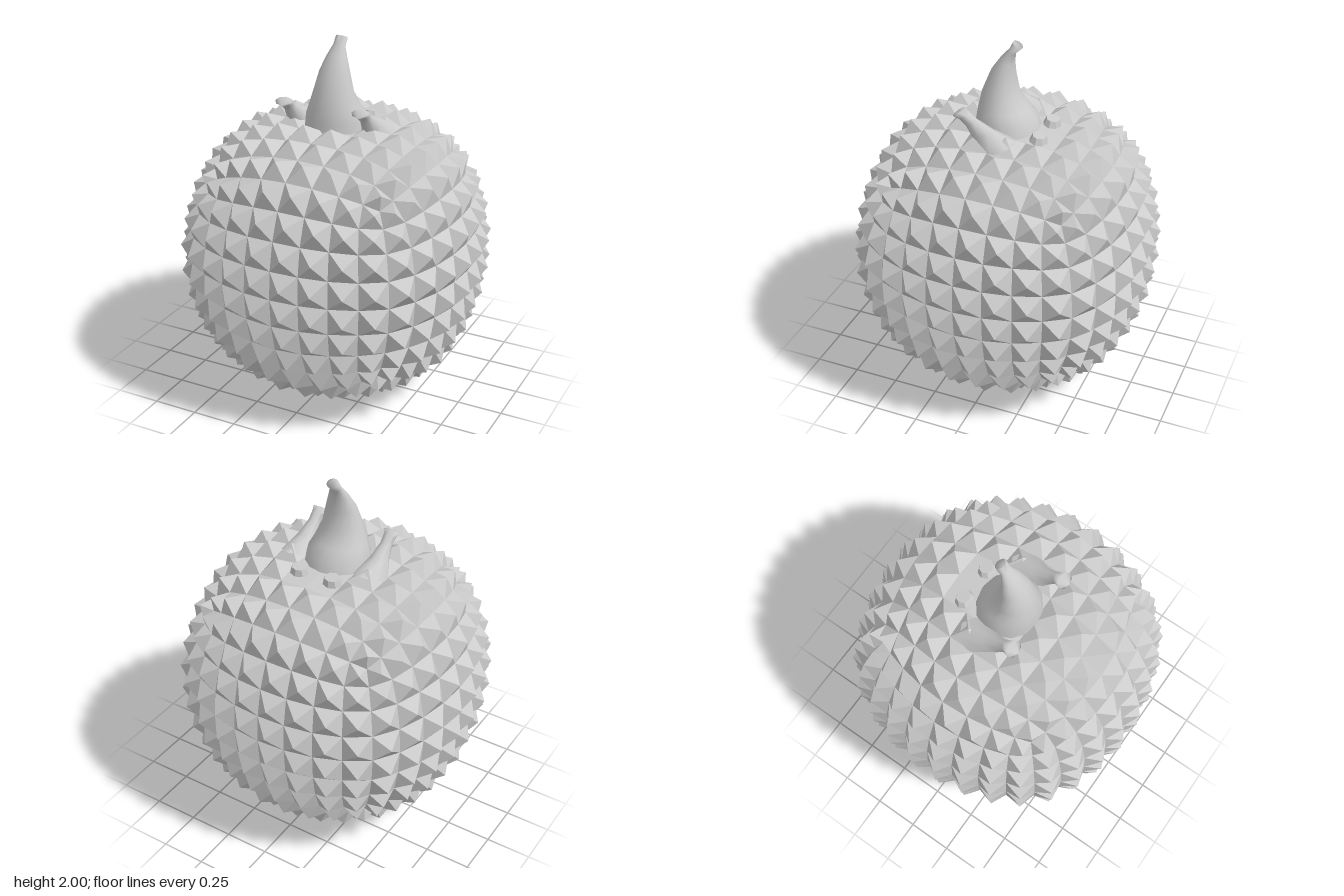
import * as THREE from 'three';

const CENTRE_Y = 0.822;
const material = (flat) => new THREE.MeshStandardMaterial({ color: 0xcccccc, flatShading: flat, side: THREE.DoubleSide });

// One smoothing subdivision of a closed quad mesh
function subdivide({ verts, quads }) {
  const acc = verts.map(() => ({ n: 0, f: new THREE.Vector3(), e: new THREE.Vector3() }));
  const edges = new Map();
  const out = verts.map((v) => v.clone());
  const key = (a, b) => Math.min(a, b) + '_' + Math.max(a, b);
  const faceIds = quads.map((q) => {
    const c = new THREE.Vector3();
    q.forEach((i) => c.addScaledVector(verts[i], 0.25));
    q.forEach((a, k) => {
      const b = q[(k + 1) % 4];
      const mid = verts[a].clone().add(verts[b]).multiplyScalar(0.5);
      if (!edges.has(key(a, b))) edges.set(key(a, b), { id: out.push(mid.clone().multiplyScalar(0.5)) - 1 });
      out[edges.get(key(a, b)).id].addScaledVector(c, 0.25);
      acc[a].n++;
      acc[a].f.add(c);
      acc[a].e.add(mid);
    });
    return out.push(c) - 1;
  });
  verts.forEach((v, i) => {
    const { n, f, e } = acc[i];
    out[i].multiplyScalar((n - 3) / n).addScaledVector(f, 1 / (n * n)).addScaledVector(e, 2 / (n * n));
  });
  const next = [];
  quads.forEach((q, j) => q.forEach((a, k) => {
    next.push([a, edges.get(key(a, q[(k + 1) % 4])).id, faceIds[j], edges.get(key(q[(k + 3) % 4], a)).id]);
  }));
  return { verts: out, quads: next };
}

// Rounded cube whose every quad is raised into a small pyramid
function spikedBody() {
  let mesh = { verts: [], quads: [[1, 3, 7, 5], [0, 4, 6, 2], [2, 6, 7, 3], [0, 1, 5, 4], [4, 5, 7, 6], [0, 2, 3, 1]] };
  for (let i = 0; i < 8; i++) mesh.verts.push(new THREE.Vector3(i & 1 ? 1 : -1, i & 2 ? 1 : -1, i & 4 ? 1 : -1));
  for (let i = 0; i < 3; i++) mesh = subdivide(mesh);

  const size = 0.765 / Math.max(...mesh.verts.map((v) => v.x));
  mesh.verts.forEach((v) => {
    const n = v.clone().normalize();
    const side = Math.max(Math.abs(n.x), Math.abs(n.y), Math.abs(n.z));
    v.multiplyScalar(size * (1 + 0.04 * Math.min(1, (1 - side) / 0.29)));
    // shallow dip around the stem
    if (v.y > 0.3) v.y -= 0.06 * Math.exp(-(v.x * v.x + v.z * v.z) / 0.17);
  });

  const pos = [];
  mesh.quads.forEach((q) => {
    const p = q.map((i) => mesh.verts[i]);
    const tip = new THREE.Vector3();
    p.forEach((v) => tip.addScaledVector(v, 0.25));
    const normal = p[2].clone().sub(p[0]).cross(p[3].clone().sub(p[1])).normalize();
    const bare = tip.y > 0.5 && Math.abs(tip.x) < 0.2 && tip.z > -0.34 && tip.z < 0.2;
    if (!bare) tip.addScaledVector(normal, 0.065);
    p.forEach((v, k) => pos.push(...v, ...p[(k + 1) % 4], ...tip));
  });
  const geo = new THREE.BufferGeometry();
  geo.setAttribute('position', new THREE.Float32BufferAttribute(pos, 3));
  geo.computeVertexNormals();
  return geo;
}

// Skin over rings given as [front z, front y, back z, back y, half width], with a flat end
function loft(rings, sides) {
  const pos = [];
  const index = [];
  rings.forEach(([zf, yf, zb, yb, hx], r) => {
    for (let j = 0; j < sides; j++) {
      const a = (j / sides) * Math.PI * 2;
      const c = Math.cos(a) / 2;
      pos.push(hx * Math.sin(a), (yf + yb) / 2 + (yf - yb) * c, (zf + zb) / 2 + (zf - zb) * c);
      if (r === 0) continue;
      const k = (j + 1) % sides;
      const lo = (r - 1) * sides;
      const hi = r * sides;
      index.push(lo + j, lo + k, hi + k, lo + j, hi + k, hi + j);
    }
  });
  const last = (rings.length - 1) * sides;
  for (let j = 1; j < sides - 1; j++) index.push(last, last + j, last + j + 1);
  const geo = new THREE.BufferGeometry();
  geo.setAttribute('position', new THREE.Float32BufferAttribute(pos, 3));
  geo.setIndex(index);
  geo.computeVertexNormals();
  return geo;
}

export function createModel() {
  const group = new THREE.Group();
  const add = (name, geo, flat, x = 0, y = 0, z = 0) => {
    const mesh = new THREE.Mesh(geo, material(flat));
    mesh.name = name;
    mesh.position.set(x, y, z);
    group.add(mesh);
    return mesh;
  };

  add('spikedBody', spikedBody(), true, 0, CENTRE_Y, 0);

  // Tapered stem hooking backwards at the tip
  add('stem', loft([
    [0.18, 1.5, -0.17, 1.5, 0.18],
    [0.175, 1.57, -0.15, 1.58, 0.17],
    [0.165, 1.63, -0.1, 1.63, 0.145],
    [0.145, 1.72, -0.05, 1.71, 0.112],
    [0.1, 1.83, -0.03, 1.81, 0.085],
    [0.045, 1.91, -0.025, 1.88, 0.057],
    [0, 1.96, -0.032, 1.935, 0.034],
    [-0.02, 2.0, -0.07, 1.97, 0.033],
  ], 14), false);

  // Curled shoots and flat buds, one pair each
  const shoot = loft([
    [0.08, 1.45, -0.13, 1.55, 0.095],
    [0.11, 1.54, 0, 1.595, 0.05],
    [0.15, 1.605, 0.09, 1.64, 0.032],
    [0.185, 1.635, 0.125, 1.668, 0.036],
    [0.215, 1.652, 0.16, 1.685, 0.05],
  ], 8);
  for (const s of [1, -1]) {
    add(s > 0 ? 'leftShoot' : 'rightShoot', shoot, false, s * 0.222, 0, 0);
    const bud = add(s > 0 ? 'leftBud' : 'rightBud', new THREE.CylinderGeometry(0.042, 0.056, 0.035, 8), true, s * 0.1, 1.535, -0.205);
    bud.rotation.x = -0.15;
    bud.scale.z = 0.88;
  }
  return group;
}
